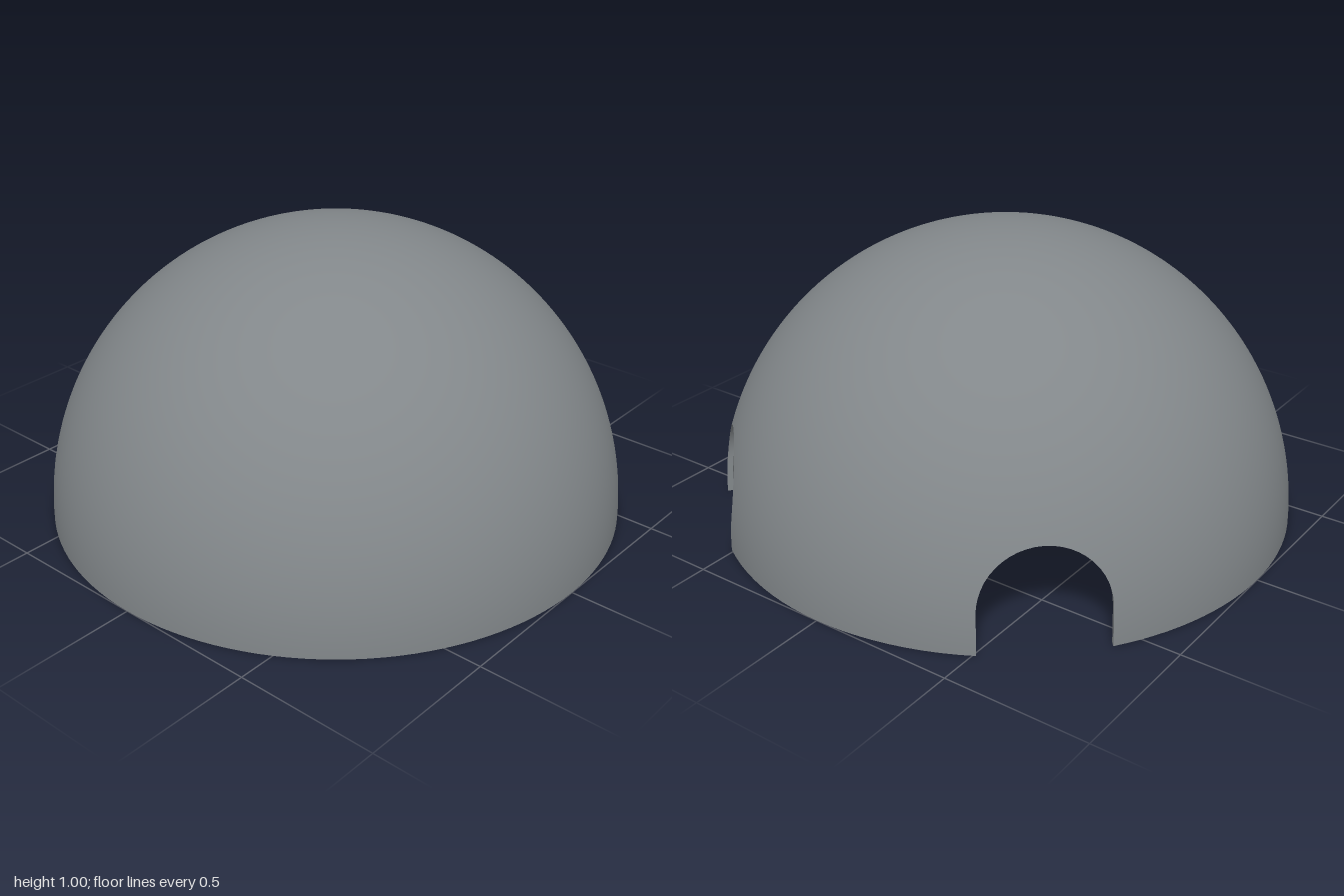
import * as THREE from 'three';
import { toCreasedNormals } from 'three/addons/utils/BufferGeometryUtils.js';

const OUTER = 1, INNER = 0.98;            // shell radii
const DOOR_ANGLE = 0.744;                 // doorway direction, measured from the back
const HALF_WIDTH = 0.207, SPRING = 0.135; // arch half width and height of its straight sides
const ROWS = 48, JAMB = 5, ARCH = 24, BACK = 20, FRONT = 92;

// Lower edge of one shell surface as [azimuth, elevation] pairs, once around
function lowerEdge(R) {
  const edge = [];
  const outline = [];
  for (let i = 0; i < JAMB; i++) outline.push([-HALF_WIDTH, SPRING * i / JAMB]);
  for (let i = 0; i <= ARCH; i++) {
    const t = Math.PI * (1 - i / ARCH);
    outline.push([HALF_WIDTH * Math.cos(t), SPRING + HALF_WIDTH * Math.sin(t)]);
  }
  for (let i = JAMB - 1; i >= 0; i--) outline.push([HALF_WIDTH, SPRING * i / JAMB]);

  const half = Math.asin(HALF_WIDTH / R);
  const door = (centre) => outline.forEach(([u, y]) =>
    edge.push([centre + Math.asin(u / Math.sqrt(R * R - y * y)), Math.asin(y / R)]));
  const wall = (from, to, n) => {
    for (let i = 1; i < n; i++) edge.push([from + (to - from) * i / n, 0]);
  };
  const a = DOOR_ANGLE, b = 2 * Math.PI - DOOR_ANGLE;
  door(a);
  wall(a + half, b - half, FRONT);
  door(b);
  wall(b + half, a - half + 2 * Math.PI, BACK);
  edge.push([a - half + 2 * Math.PI, 0]);
  return edge;
}

function onSphere(R, az, el) {
  return new THREE.Vector3(Math.sin(az) * Math.cos(el), Math.sin(el), -Math.cos(az) * Math.cos(el)).multiplyScalar(R);
}

// Spherical surface rising from its lower edge to the apex
function domeSurface(R, inward) {
  const edge = lowerEdge(R), n = edge.length - 1;
  const pos = [], nor = [], index = [];
  edge.forEach(([az, el], i) => {
    const even = 2 * Math.PI * (i + BACK / 2) / n;
    for (let j = 0; j <= ROWS; j++) {
      const v = j / ROWS;
      const p = onSphere(R, az + (even - az) * v, el + (Math.PI / 2 - el) * v);
      pos.push(p.x, p.y, p.z);
      p.normalize().multiplyScalar(inward ? -1 : 1);
      nor.push(p.x, p.y, p.z);
    }
  });
  for (let i = 0; i < n; i++) {
    for (let j = 0; j < ROWS; j++) {
      const a = i * (ROWS + 1) + j, b = a + ROWS + 1;
      const tris = j < ROWS - 1 ? [[a, a + 1, b], [b, a + 1, b + 1]] : [[a, a + 1, b]];
      for (const [p, q, r] of tris) index.push(...(inward ? [p, r, q] : [p, q, r]));
    }
  }
  const g = new THREE.BufferGeometry();
  g.setAttribute('position', new THREE.Float32BufferAttribute(pos, 3));
  g.setAttribute('normal', new THREE.Float32BufferAttribute(nor, 3));
  g.setIndex(index);
  return g;
}

// Thickness of the shell along the ground and around the doorways
function rimSurface() {
  const pos = [], index = [];
  const outer = lowerEdge(OUTER), inner = lowerEdge(INNER);
  outer.forEach(([az, el], i) => {
    pos.push(...onSphere(OUTER, az, el).toArray(), ...onSphere(INNER, ...inner[i]).toArray());
    const k = 2 * i;
    if (i < outer.length - 1) index.push(k, k + 2, k + 1, k + 2, k + 3, k + 1);
  });
  const g = new THREE.BufferGeometry();
  g.setAttribute('position', new THREE.Float32BufferAttribute(pos, 3));
  g.setIndex(index);
  return toCreasedNormals(g, 0.6);
}

export function createModel() {
  const group = new THREE.Group();
  group.name = 'dome';
  const grey = new THREE.MeshStandardMaterial({ color: 0x82878a });
  grey.name = 'slate grey';
  const add = (name, geometry) => {
    const mesh = new THREE.Mesh(geometry, grey);
    mesh.name = name;
    group.add(mesh);
  };
  add('outerShell', domeSurface(OUTER, false));
  add('innerShell', domeSurface(INNER, true));
  add('rimAndDoorways', rimSurface());
  return group;
}
